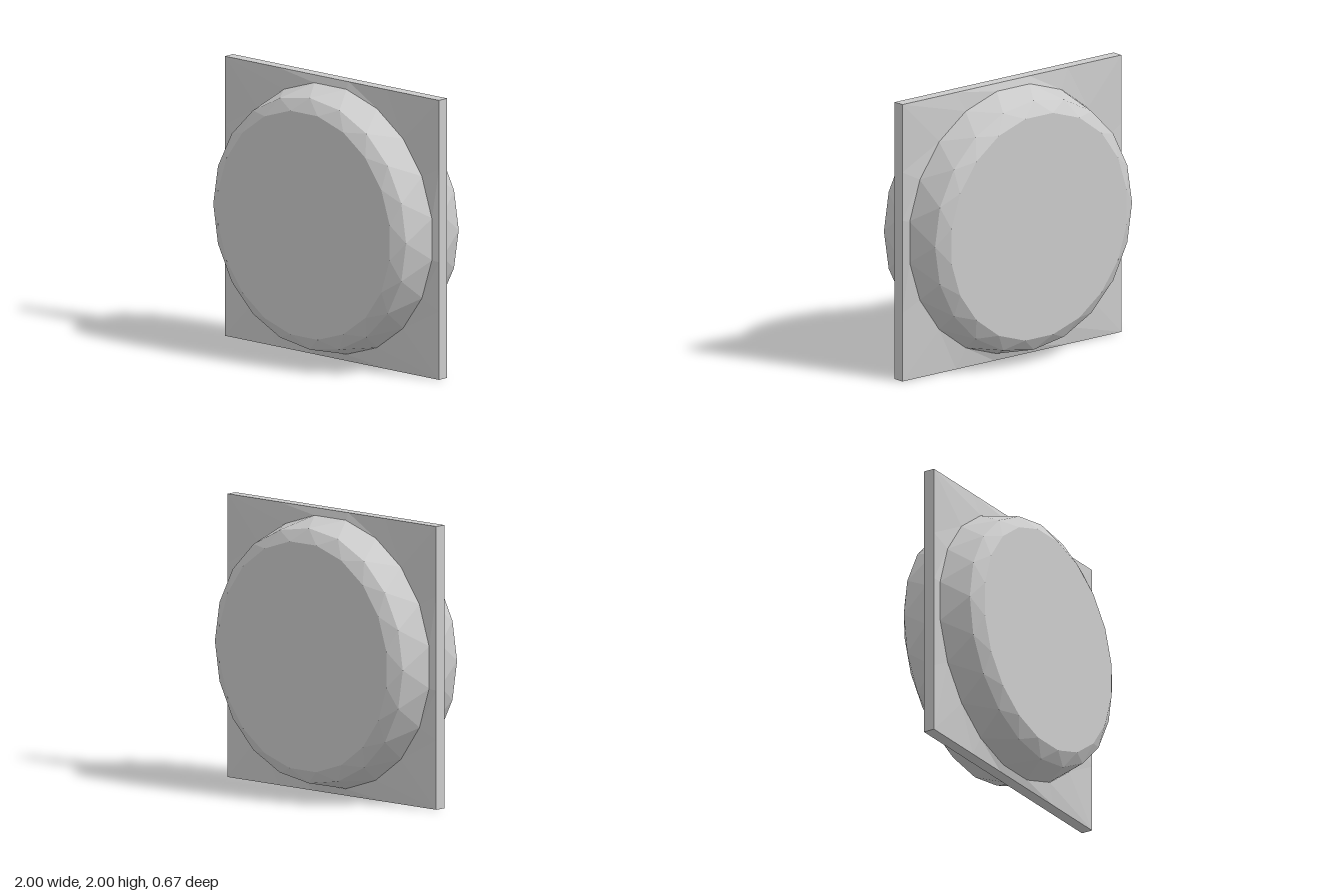
import * as THREE from 'three';

const SIDES = 20;
const STEP = (Math.PI * 2) / SIDES;

// Ring of points around z; the half-step start puts points on the square's corners.
function ring(radius, z, { square = false, twist = 0 } = {}) {
  return Array.from({ length: SIDES }, (_, j) => {
    const a = (j + 0.5 + twist) * STEP;
    const c = Math.cos(a), s = Math.sin(a);
    const r = square ? radius / Math.max(Math.abs(c), Math.abs(s)) : radius;
    return [r * c, r * s, z];
  });
}

// Skin consecutive rings with triangles, optionally closing the last ring.
function loft(rings, capped = false) {
  const index = [];
  const points = rings.flat();
  for (let i = 0; i < rings.length - 1; i++) {
    for (let j = 0; j < SIDES; j++) {
      const k = (j + 1) % SIDES;
      const a = i * SIDES + j, b = i * SIDES + k;
      index.push(a, b, a + SIDES, b, b + SIDES, a + SIDES);
    }
  }
  if (capped) {
    const last = (rings.length - 1) * SIDES;
    const centre = points.push([0, 0, rings.at(-1)[0][2]]) - 1;
    for (let j = 0; j < SIDES; j++) index.push(last + j, last + ((j + 1) % SIDES), centre);
  }
  const indexed = new THREE.BufferGeometry();
  indexed.setAttribute('position', new THREE.Float32BufferAttribute(points.flat(), 3));
  indexed.setIndex(index);
  const geometry = indexed.toNonIndexed();
  geometry.computeVertexNormals();
  return geometry;
}

export function createModel() {
  const model = new THREE.Group();
  model.name = 'doubleDrumPanel';
  const material = new THREE.MeshStandardMaterial({ color: 0xcccccc, flatShading: true });

  // Thin square plate whose faces rise slightly toward the drums
  const plate = new THREE.Mesh(loft([
    ring(0.96, -0.06),
    ring(1, -0.042, { square: true }),
    ring(1, 0.042, { square: true }),
    ring(0.96, 0.06),
  ]), material);
  plate.name = 'squarePlate';
  plate.position.y = 1;
  model.add(plate);

  // Faceted drums with a chamfered edge and flat face, one on each side
  const drumGeometry = loft([
    ring(0.96, 0.055),
    ring(0.9, 0.275, { twist: 0.5 }),
    ring(0.81, 0.335, { twist: 1 }),
  ], true);
  for (const [name, turn] of [['frontDrum', 0], ['backDrum', Math.PI]]) {
    const drum = new THREE.Mesh(drumGeometry, material);
    drum.name = name;
    drum.position.y = 1;
    drum.rotation.y = turn;
    model.add(drum);
  }
  return model;
}
